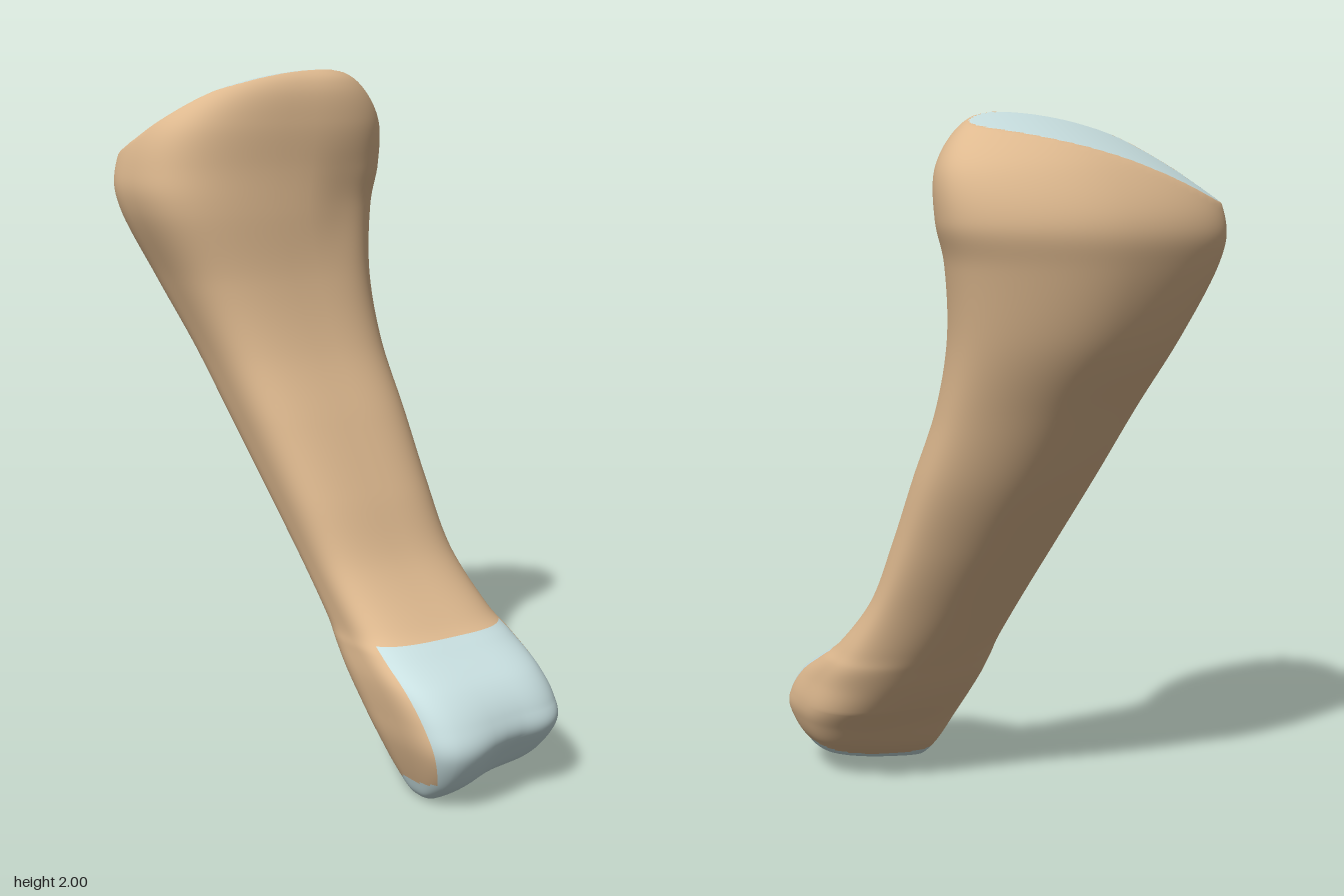
import * as THREE from 'three';

// Level sections, bottom to top: y, x min, x max, z min, z max, squareness
const sections = [
  [-0.005, 0.05, 0.05, 0.44, 0.44, 3],
  [0.01, 0.0, 0.31, 0.385, 0.51, 3],
  [0.07, -0.03, 0.385, 0.31, 0.595, 3.2],
  [0.17, -0.065, 0.425, 0.235, 0.645, 3.3],
  [0.25, -0.08, 0.435, 0.17, 0.62, 3.3],
  [0.33, -0.09, 0.425, 0.11, 0.55, 3.2],
  [0.4, -0.09, 0.415, 0.065, 0.43, 3],
  [0.46, -0.09, 0.395, 0.025, 0.345, 2.7],
  [0.61, -0.115, 0.355, -0.073, 0.22, 2.5],
  [0.8, -0.16, 0.335, -0.2, 0.135, 2.5],
  [1.0, -0.21, 0.325, -0.33, 0.045, 2.5],
  [1.2, -0.265, 0.31, -0.446, -0.045, 2.5],
  [1.4, -0.34, 0.315, -0.56, -0.095, 2.5],
  [1.6, -0.43, 0.345, -0.625, -0.112, 2.5],
  [1.72, -0.44, 0.38, -0.635, -0.122, 2.5],
  [1.85, -0.395, 0.37, -0.57, -0.127, 2.5],
  [1.95, -0.27, 0.295, -0.47, -0.145, 2.4],
  [2.0, -0.1, 0.2, -0.38, -0.19, 2.3],
  [2.03, 0.05, 0.05, -0.29, -0.29, 2.3],
];

const AROUND = 128, STEPS = 10;
const bump = (v, centre, width) => Math.exp(-(((v - centre) / width) ** 2));
const power = (v, n) => Math.sign(v) * Math.abs(v) ** (2 / n);

// Slightly domed joint face that tips to the back, more so on the right
const faceHeight = (x, z) =>
  1.994 + 0.1 * x - 0.4 * x * x + (0.3 - 0.3 * x) * Math.min(0, z + 0.2);

export function createModel() {
  const rows = (sections.length - 1) * STEPS;
  const blend = new THREE.CubicInterpolant(sections.map((_, i) => i), sections.flat(), 6);
  const positions = [], capped = [], heights = [];

  for (let i = 0; i <= rows; i++) {
    const [h, x0, x1, z0, z1, square] = blend.evaluate(i / STEPS);
    heights.push(h);
    for (let j = 0; j < AROUND; j++) {
      const a = (j / AROUND) * Math.PI * 2;
      const front = Math.max(0, Math.sin(a));
      // fuller toward the front right, rounder toward the back left
      const n = square + 0.45 * (Math.sin(a) - Math.cos(a));
      const x = (x0 + x1) / 2 + ((x1 - x0) / 2) * power(Math.cos(a), n);
      let z = (z0 + z1) / 2 + ((z1 - z0) / 2) * power(Math.sin(a), n);
      // groove between the two lobes of the lower head, the left lobe being shorter
      z -= front * (0.03 * bump(x, 0.2, 0.1) + 0.08 * Math.max(0, x)) * bump(h, 0.1, 0.14);
      // hollow below the upper head
      z -= 0.02 * front * bump(x, 0.16, 0.12) * bump(h, 1.6, 0.15);
      // the lower end rises toward the left
      let y = h + 0.16 * Math.max(0, x - 0.02) * Math.max(0, 1 - h / 0.25);
      const top = faceHeight(x, z);
      capped.push(y >= top);
      y = Math.min(y, top);
      positions.push(x, y, z);
    }
  }

  // Sort each quad into bone or joint cartilage
  const bone = [], upper = [], lower = [];
  for (let i = 0; i < rows; i++) {
    const h = (heights[i] + heights[i + 1]) / 2;
    // the lower cartilage covers the front and wraps under the end
    const limit = h > 0.08 ? 0.5 : 0.5 - ((0.08 - h) / 0.05) * 1.5;
    for (let j = 0; j < AROUND; j++) {
      const k = (j + 1) % AROUND;
      const a = i * AROUND + j, b = i * AROUND + k;
      const c = a + AROUND, d = b + AROUND;
      const s = Math.sin(((j + 0.5) / AROUND) * Math.PI * 2);
      const onTop = capped[a] && capped[b] && capped[c] && capped[d];
      const target = onTop ? upper : h < 0.425 && s > limit ? lower : bone;
      target.push(a, c, b, b, c, d);
    }
  }

  // One set of smooth normals is shared so the parts meet without a seam
  const whole = new THREE.BufferGeometry();
  whole.setAttribute('position', new THREE.Float32BufferAttribute(positions, 3));
  whole.setIndex([...bone, ...upper, ...lower]);
  whole.computeVertexNormals();

  const boneMaterial = new THREE.MeshStandardMaterial({ color: 0xdeb98f });
  const cartilageMaterial = new THREE.MeshStandardMaterial({ color: 0xc8dfe0 });
  const group = new THREE.Group();
  group.name = 'footBone';
  const addPart = (name, index, material) => {
    const geometry = new THREE.BufferGeometry();
    geometry.setAttribute('position', whole.getAttribute('position'));
    geometry.setAttribute('normal', whole.getAttribute('normal'));
    geometry.setIndex(index);
    const mesh = new THREE.Mesh(geometry, material);
    mesh.name = name;
    group.add(mesh);
  };
  addPart('boneShaft', bone, boneMaterial);
  addPart('upperCartilage', upper, cartilageMaterial);
  addPart('lowerCartilage', lower, cartilageMaterial);
  return group;
}
